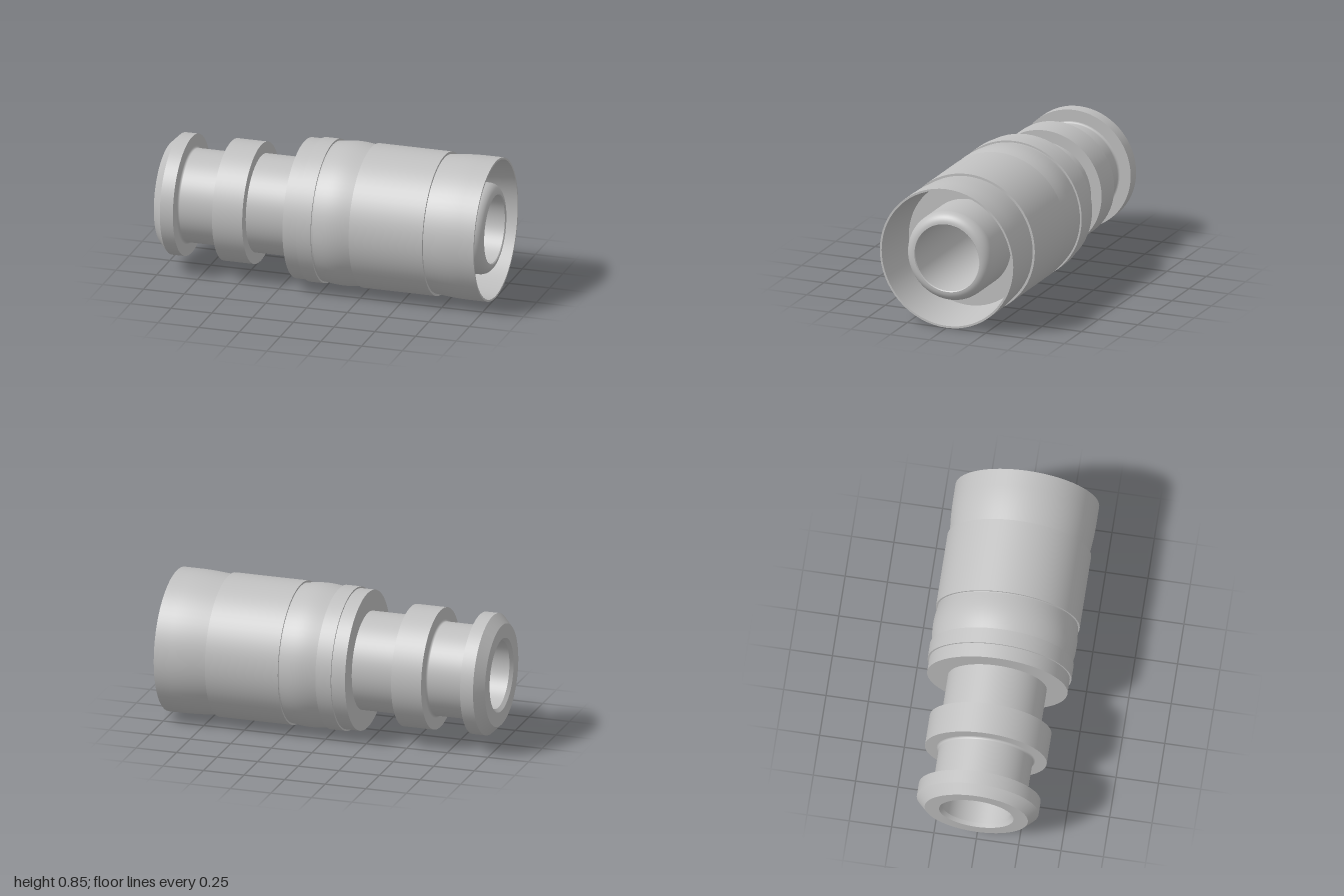
import * as THREE from 'three';

const SEGMENTS = 64;
const RADIUS = 0.425;

export function createModel() {
  const model = new THREE.Group();
  model.name = 'coupling';
  const metal = new THREE.MeshStandardMaterial({ color: 0xc0c0c0 });
  metal.name = 'grey metal';

  // Revolve one smooth run of [x, radius] points about the x axis.
  const band = (points) => {
    const g = new THREE.LatheGeometry(points.map(([x, r]) => new THREE.Vector2(r, x)), SEGMENTS);
    return g.rotateZ(-Math.PI / 2);
  };
  // A part is several runs; corners between runs stay sharp.
  const part = (name, runs) => {
    const group = new THREE.Group();
    group.name = name;
    for (const run of runs) {
      const mesh = new THREE.Mesh(band(run), metal);
      mesh.name = name + 'Surface';
      group.add(mesh);
    }
    group.position.y = RADIUS + 0.002;
    model.add(group);
  };
  // Straight runs between successive points, each with its own normals.
  const sharp = (points) => points.slice(1).map((p, i) => [points[i], p]);
  // Elliptical quarter arc or symmetric bulge sampled between two x values.
  const curve = (n, fn) => Array.from({ length: n + 1 }, (_, i) => fn(i / n));

  // Chamfered flange at the plug end
  part('endFlange', sharp([[-1, 0.22], [-1, 0.305], [-0.945, 0.36], [-0.865, 0.36], [-0.865, 0.29]]));

  // Groove with small fillets at both ends
  const fillet = (t) => 0.277 + 0.013 * (1 - Math.sin(t * Math.PI / 2));
  part('frontNeck', [[
    ...curve(4, (t) => [-0.865 + 0.013 * (1 - Math.cos(t * Math.PI / 2)), fillet(t)]),
    ...curve(4, (t) => [-0.625 - 0.013 * (1 - Math.cos((1 - t) * Math.PI / 2)), fillet(1 - t)]),
  ]]);

  // Middle collar and rear neck
  part('middleCollar', sharp([[-0.625, 0.29], [-0.625, 0.36], [-0.44, 0.36], [-0.44, 0.292]]));
  part('rearNeck', sharp([[-0.44, 0.292], [-0.175, 0.292]]));

  // Stepped shoulder
  part('shoulder', sharp([[-0.175, 0.292], [-0.175, 0.415], [-0.09, 0.415], [-0.09, RADIUS],
    [0, RADIUS], [0, 0.414], [0.008, 0.414]]));

  // Gently bulging grip ring
  part('gripRing', [
    curve(12, (t) => [0.008 + 0.222 * t, 0.414 + 0.011 * Math.sin(t * Math.PI)]),
    ...sharp([[0.23, 0.414], [0.236, 0.414], [0.236, RADIUS]]),
  ]);

  // Straight sleeve, then the flared socket rim
  part('sleeve', sharp([[0.236, RADIUS], [0.685, RADIUS], [0.685, 0.411]]));
  part('socketRim', [
    [...curve(10, (t) => [0.685 + 0.215 * t, 0.411 + 0.014 * Math.sin(t * Math.PI / 2)]), [1, RADIUS]],
    ...sharp([[1, RADIUS], [1, 0.413], [0.68, 0.38], [0.68, 0.27]]),
  ]);

  // Inner tube with a rounded nose
  part('innerTube', [
    [[0.68, 0.27], [0.93, 0.27], ...curve(10, (t) => [
      0.93 + 0.065 * Math.sin(t * Math.PI / 2), 0.207 + 0.063 * Math.cos(t * Math.PI / 2)])],
    ...sharp([[0.995, 0.207], [0.99, 0.202]]),
  ]);

  // Through bore, chamfered at the plug end
  part('bore', sharp([[0.99, 0.202], [-0.98, 0.202], [-1, 0.22]]));

  return model;
}
